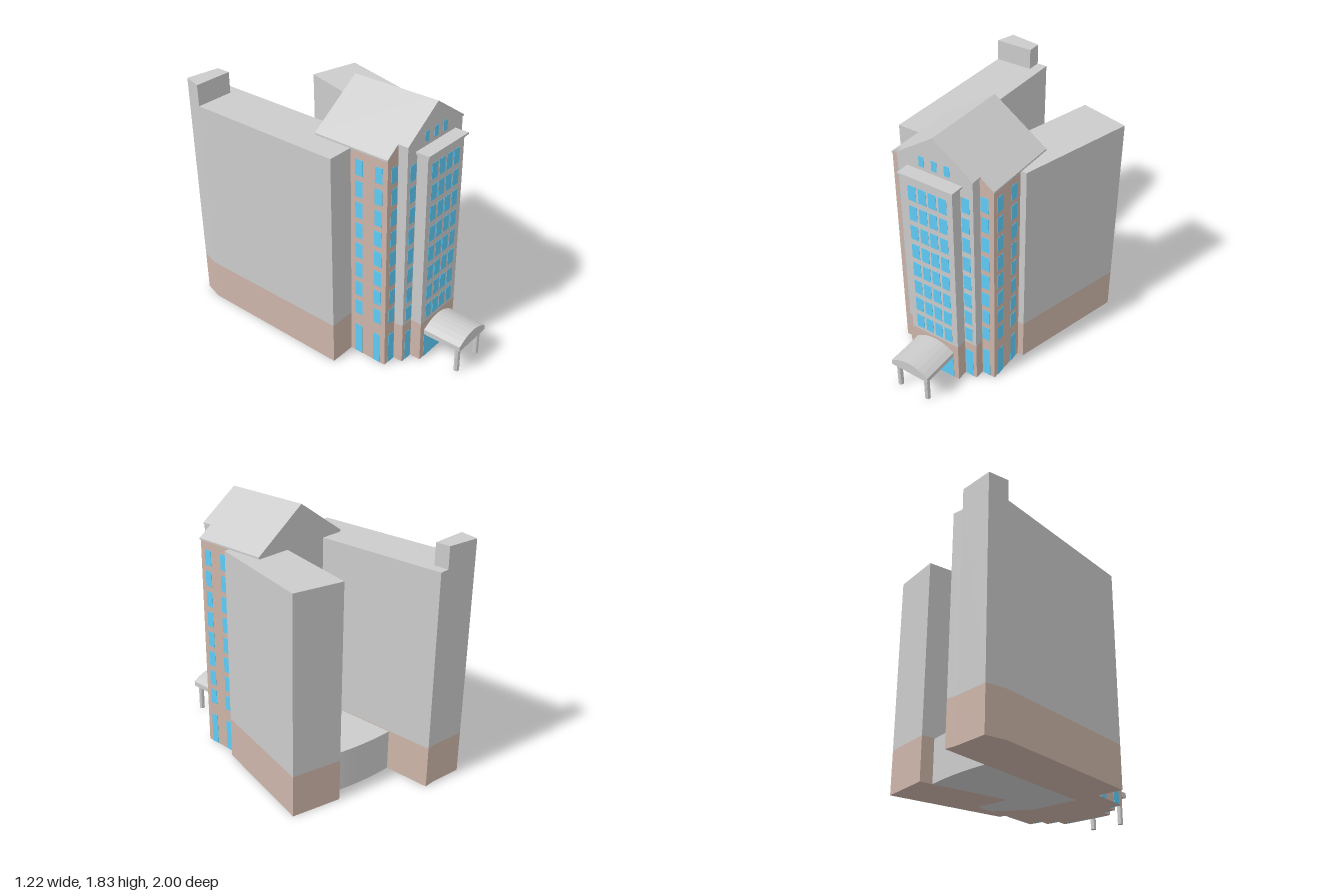
import * as THREE from 'three';
import { mergeGeometries } from 'three/addons/utils/BufferGeometryUtils.js';

const material = (color) => new THREE.MeshStandardMaterial({ color, flatShading: true });

export function createModel() {
  const model = new THREE.Group();
  const grey = material(0xcccccc), brown = material(0xcdb5a9), blue = material(0x5fcdf8);
  const CX = -0.042; // symmetry axis of the tower
  const BASE = 0.3, WALL = 1.55, RIDGE = 1.83, SLOPE = 0.68;

  const add = (parent, name, geometry, mat) => {
    const mesh = new THREE.Mesh(geometry, mat);
    mesh.name = name;
    parent.add(mesh);
    return mesh;
  };
  const group = (name) => {
    const g = new THREE.Group();
    g.name = name;
    model.add(g);
    return g;
  };
  const toShape = (points) => new THREE.Shape(points.map(([x, y]) => new THREE.Vector2(x, y)));

  // Prism raised from an [x, z] footprint
  const prism = (footprint, y0, y1) =>
    new THREE.ExtrudeGeometry(toShape(footprint.map(([x, z]) => [x, -z])), { depth: y1 - y0, bevelEnabled: false })
      .rotateX(-Math.PI / 2).translate(0, y0, 0);
  // Prism running along z from an [x, y] outline centred on the tower axis
  const along = (outline, z0, z1) =>
    new THREE.ExtrudeGeometry(toShape(outline), { depth: z1 - z0, bevelEnabled: false }).translate(CX, 0, z0);
  const box = (x0, x1, y0, y1, z0, z1) =>
    new THREE.BoxGeometry(x1 - x0, y1 - y0, z1 - z0).translate((x0 + x1) / 2, (y0 + y1) / 2, (z0 + z1) / 2);

  // Wings: brown base course with grey storeys above
  const wing = (name, footprint) => {
    const g = group(name);
    add(g, 'wingBase', prism(footprint, 0, BASE), brown);
    add(g, 'wingStoreys', prism(footprint, BASE, WALL), grey);
  };
  wing('rightWing', [[-0.61, 0.28], [-0.255, 0.28], [-0.255, -0.965], [-0.33, -0.965], [-0.57, -1], [-0.61, -0.86]]);
  wing('leftWing', [[0.014, 0.28], [0.385, 0.28], [0.61, -0.545], [0.26, -0.635]]);
  add(model, 'roofPenthouse', prism([[-0.61, -0.86], [-0.33, -0.86], [-0.33, -0.965], [-0.57, -1]], WALL, 1.7), grey);

  // Low link between the wings with a gently curved back wall
  const curve = new THREE.QuadraticBezierCurve(
    new THREE.Vector2(-0.255, -0.63), new THREE.Vector2(0, -0.62), new THREE.Vector2(0.237, -0.548));
  const link = [[0.09, 0], [-0.255, 0], ...curve.getPoints(10).map((p) => [p.x, p.y])];
  add(model, 'curvedLink', prism(link, 0, 0.295), grey);

  // Gabled tower, stepping in towards the front
  const tower = group('tower');
  const gable = (half, y0) => {
    const eave = RIDGE - 0.012 - SLOPE * half;
    return [[-half, y0], [half, y0], [half, eave], [0, RIDGE - 0.012], [-half, eave]];
  };
  add(tower, 'rearBody', along(gable(0.383, 0), 0, 0.28), grey);
  add(tower, 'brownBody', along(gable(0.383, 0), 0.28, 0.565), brown);
  add(tower, 'middleStep', along(gable(0.283, BASE), 0.5, 0.635), grey);
  add(tower, 'middleStepBase', box(CX - 0.283, CX + 0.283, 0, BASE, 0.5, 0.635), brown);
  add(tower, 'frontBay', box(CX - 0.19, CX + 0.19, BASE, WALL, 0.6, 0.715), grey);
  add(tower, 'frontBayBase', box(CX - 0.19, CX + 0.19, 0, BASE, 0.6, 0.715), brown);
  add(tower, 'bayCorniceLower', box(CX - 0.198, CX + 0.198, WALL - 0.005, WALL + 0.007, 0.6, 0.725), grey);
  add(tower, 'bayCornice', box(CX - 0.207, CX + 0.207, WALL + 0.007, WALL + 0.02, 0.6, 0.735), grey);

  // Thin pitched roof following the steps
  const roof = (half) => {
    const y = RIDGE - SLOPE * half, t = 0.012;
    return [[-half, y - t], [0, RIDGE - t], [half, y - t], [half, y], [0, RIDGE], [-half, y]];
  };
  add(tower, 'mainRoof', along(roof(0.391), 0, 0.567), grey);
  add(tower, 'frontRoof', along(roof(0.291), 0.567, 0.64), grey);

  // Window columns: one tall ground-floor pane and eight storeys
  const storeys = Array.from({ length: 8 }, (_, i) => [0.325 + i * 0.151, 0.435 + i * 0.151]);
  const allRows = [[0, 0.23], ...storeys];
  const pane = (x, w, y0, y1, z) => box(CX + x - w / 2, CX + x + w / 2, y0, y1, z - 0.01, z + 0.002);
  const column = (x, w, z, rows) => rows.map(([y0, y1]) => pane(x, w, y0, y1, z));
  const windows = group('windows');
  const bay = [-0.116, -0.038, 0.038, 0.116].flatMap((x) => column(x, 0.06, 0.715, storeys));
  add(windows, 'bayWindows', mergeGeometries(bay), blue);
  add(windows, 'gableWindows', mergeGeometries([-0.095, 0, 0.095].map((x) => pane(x, 0.04, 1.595, 1.667, 0.635))), blue);
  add(windows, 'entranceDoor', pane(0, 0.3, 0, 0.23, 0.715), blue);
  for (const s of [-1, 1]) {
    const side = s > 0 ? 'left' : 'right';
    add(windows, side + 'MiddleWindows', mergeGeometries(column(s * 0.225, 0.058, 0.635, allRows)), blue);
    add(windows, side + 'OuterWindows', mergeGeometries(column(s * 0.317, 0.058, 0.565, allRows)), blue);
    const x = CX + s * 0.383;
    const panes = [0.498, 0.346].flatMap((z) =>
      allRows.map(([y0, y1]) => box(x - 0.002, x + 0.002, y0, y1, z - 0.029, z + 0.029)));
    add(windows, side + 'SideWindows', mergeGeometries(panes), blue);
  }

  // Entrance canopy with a faceted arched top on two posts
  const canopy = group('canopy');
  const arch = [[-0.15, 0.194], [0.15, 0.194]];
  for (let i = 0; i <= 8; i++) {
    const u = 1 - i / 4;
    arch.push([u * 0.15, 0.23 + 0.051 * (1 - u * u)]);
  }
  add(canopy, 'canopyRoof', along(arch, 0.71, 1), grey);
  for (const s of [-1, 1])
    add(canopy, 'canopyPost', new THREE.CylinderGeometry(0.019, 0.019, 0.195, 8), grey)
      .position.set(CX + s * 0.115, 0.0975, 0.965);

  return model;
}
